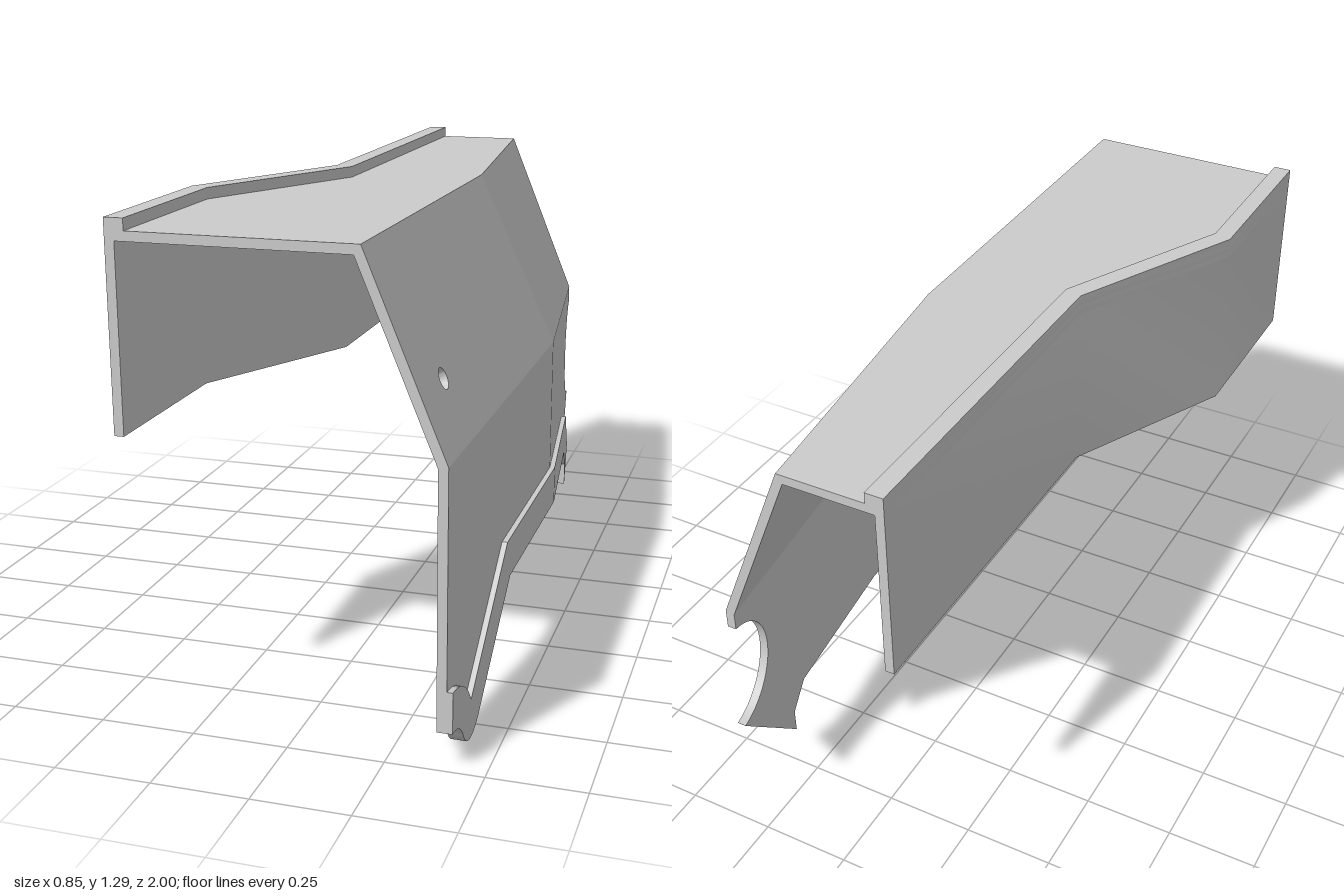
import * as THREE from 'three';
import { toCreasedNormals } from 'three/addons/utils/BufferGeometryUtils.js';

const T = 0.025;                       // sheet thickness
const EAVE = 0.765, ROOF = 1.265;      // heights of the two long folds
const BACK = -0.98, BEND = -0.2;
const grey = new THREE.MeshStandardMaterial({ color: 0xcccccc });

function addMesh(group, name, geometry) {
  const mesh = new THREE.Mesh(toCreasedNormals(geometry, 0.5), grey);
  mesh.name = name;
  group.add(mesh);
}

// Outer x of the side skin: vertical below the eave, leaning in above it,
// and tapering inward behind the bend line.
function skinX(y, z) {
  const u = Math.max(0, (y - EAVE) / (ROOF - EAVE));
  const bend = BEND + 0.085 * u;
  return 0.405 - 0.205 * u - 0.1 * Math.max(0, bend - z) / (bend - BACK);
}

// Extrude a side outline drawn in (-z, y) between two depths and wrap it on the skin.
function addSkin(group, name, shape, from, to, sloped = false) {
  const geo = new THREE.ExtrudeGeometry(shape, { depth: to - from, bevelEnabled: false, curveSegments: 12 });
  const nx = sloped ? 0.925 : 1, ny = sloped ? 0.38 : 0;
  const p = geo.attributes.position;
  for (let i = 0; i < p.count; i++) {
    const z = -p.getX(i), y = p.getY(i), t = from + p.getZ(i);
    p.setXYZ(i, skinX(y, z) + nx * t, y + ny * t, z);
  }
  addMesh(group, name, geo);
}

// Extrude a plan outline given as [x, z] points from y0 up to y1.
function addPlan(group, name, points, y0, y1) {
  const shape = new THREE.Shape(points.map(([x, z]) => new THREE.Vector2(x, -z)));
  const geo = new THREE.ExtrudeGeometry(shape, { depth: y1 - y0, bevelEnabled: false });
  geo.rotateX(-Math.PI / 2).translate(0, y0, 0);
  addMesh(group, name, geo);
}

function lines(shape, points) {
  points.forEach(([x, y]) => shape.lineTo(x, y));
  return shape;
}

const polygon = (points) => new THREE.Shape(points.map(([x, y]) => new THREE.Vector2(x, y)));

// Lower front edge with its rounded lobe, shared by the wall and the rim
function frontEdge() {
  const s = new THREE.Shape();
  s.moveTo(-1, 0.1);
  s.quadraticCurveTo(-0.94, 0.1, -0.9, 0.05);
  s.quadraticCurveTo(-0.87, 0, -0.82, 0);
  s.quadraticCurveTo(-0.78, 0, -0.74, 0.025);
  return lines(s, [[-0.4, 0.265], [0.2, 0.265]]);
}

// Lower back edge with its small hooked foot
const backEdge = [[0.2, 0.265], [0.68, 0.265], [0.75, 0.2], [0.75, 0.13]];

function disc(Kind, r) {
  const s = new Kind();
  s.absellipse(-0.815, 0.92, r, r * 0.925, 0, Math.PI * 2, false);
  return s;
}

export function createModel() {
  const group = new THREE.Group();
  group.name = 'cover';

  // Side wall, front and tapered back halves
  addSkin(group, 'sideWallFront', lines(frontEdge(), [[0.2, EAVE], [-1, EAVE]]), -T, 0);
  const back = lines(polygon(backEdge), [[1, 0.385]]);
  back.absarc(1.01, 0.55, 0.165, Math.atan2(-0.165, -0.01), Math.atan2(0.165, -0.03), true);
  lines(back, [[0.98, EAVE], [0.2, EAVE]]);
  addSkin(group, 'sideWallBack', back, -T, 0);

  // Raised rim along the lower edge
  const rim = lines(frontEdge(), [[0.2, 0.375], [-0.44, 0.375], [-0.82, 0.105]]);
  rim.quadraticCurveTo(-0.89, 0.2, -1, 0.208);
  addSkin(group, 'rimFront', rim, 0, 0.015);
  addSkin(group, 'rimBack', polygon([...backEdge, [0.855, 0.237], [0.73, 0.375], [0.2, 0.375]]), 0, 0.015);

  // Sloped panel with a hole and a boss behind it
  const slope = polygon([[-1, EAVE], [0.2, EAVE], [0.115, ROOF], [-1, ROOF]]);
  slope.holes.push(disc(THREE.Path, 0.027));
  addSkin(group, 'slopeFront', slope, -T, 0, true);
  addSkin(group, 'slopeBack', polygon([[0.2, EAVE], [0.98, EAVE], [0.98, ROOF], [0.115, ROOF]]), -T, 0, true);
  const boss = disc(THREE.Shape, 0.05);
  boss.holes.push(disc(THREE.Path, 0.027));
  addSkin(group, 'holeBoss', boss, -2 * T, -T, true);

  // Roof, stepped inner wall and the lip above it
  const step = (w) => [[-0.425 + w, 1], [-0.425 + w, 0.5 + 0.3 * w], [-0.19 + w, 0.02 + 0.3 * w], [-0.19 + w, BACK]];
  const strip = (w) => [...step(0), ...step(w).reverse()];
  addPlan(group, 'roof', [...step(0), [0.1, BACK], [0.2, -0.115], [0.2, 1]], ROOF - T, ROOF);
  addPlan(group, 'innerWall', strip(T), EAVE, ROOF - T);
  addPlan(group, 'roofLip', strip(2 * T), ROOF, 1.295);

  return group;
}
